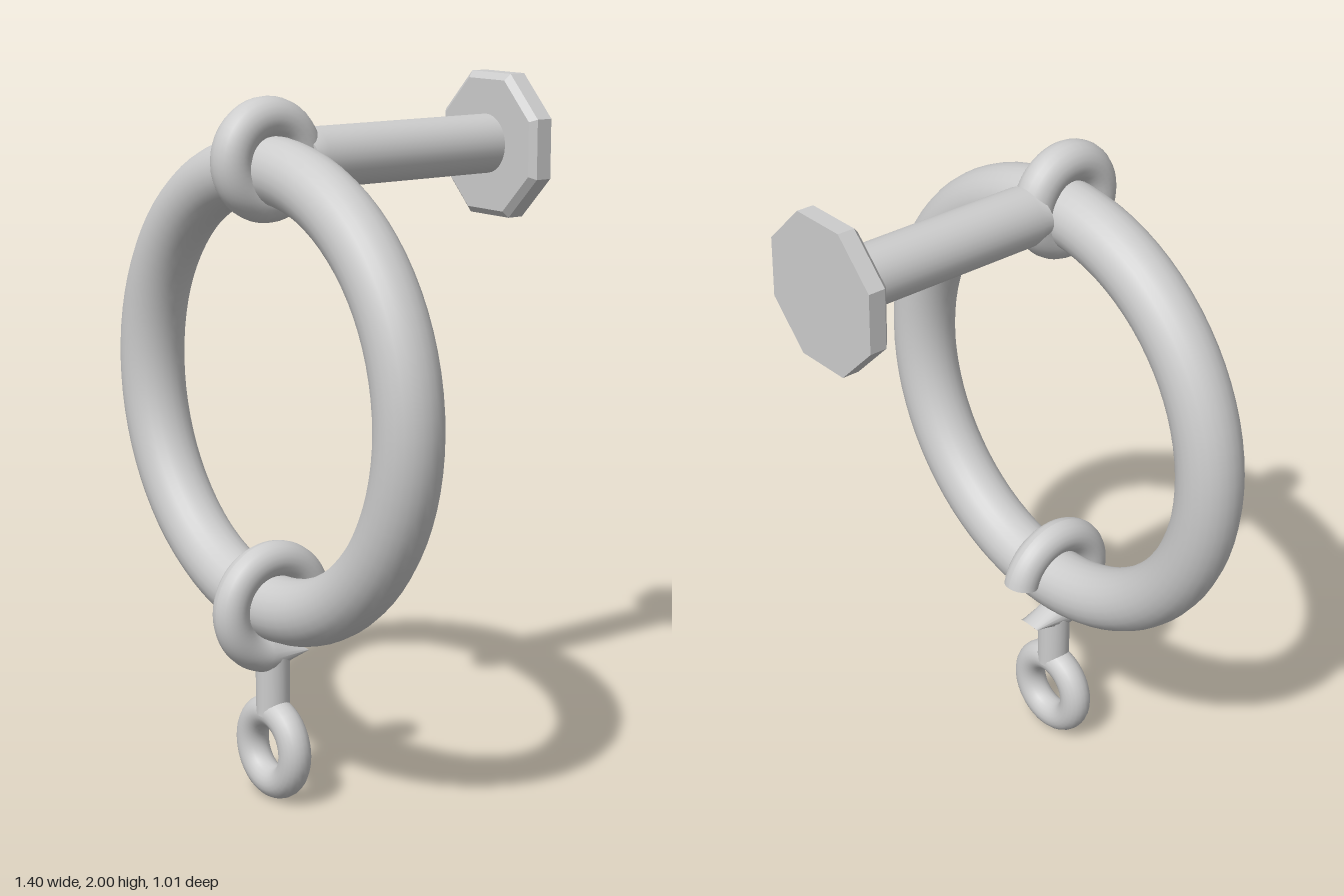
import * as THREE from 'three';

const iron = new THREE.MeshStandardMaterial({ color: 0xcccccc });
iron.name = 'grey iron';

const Z = 0.317; // plane in which the rings hang

function part(name, geometry, x = 0, y = 0, z = 0) {
  const mesh = new THREE.Mesh(geometry, iron);
  mesh.name = name;
  mesh.position.set(x, y, z);
  return mesh;
}

// Octagonal wall plate with a chamfered front edge
function plateGeometry() {
  const R = 0.203 / Math.cos(Math.PI / 8);
  const profile = [[0, -0.505], [R, -0.505], [R, -0.455], [R * 0.91, -0.438], [0, -0.438]]
    .map(([x, y]) => new THREE.Vector2(x, y));
  const g = new THREE.LatheGeometry(profile, 8, Math.PI / 8)
    .rotateX(Math.PI / 2).toNonIndexed();
  g.computeVertexNormals();
  return g;
}

// Round rod, pinched top and bottom where it meets the eye
function rodGeometry() {
  const g = new THREE.CylinderGeometry(0.084, 0.084, 0.65, 32, 2)
    .rotateX(Math.PI / 2).translate(0, 0, -0.118);
  const p = g.attributes.position;
  for (let i = 0; i < p.count; i++) {
    const z = p.getZ(i);
    if (z > 0.2) p.setY(i, p.getY(i) * 0.7);
    else if (z > -0.2) p.setZ(i, 0.17);
  }
  return g;
}

// Open hook: a torus arc whose last ring is drawn out into a flat tip
function hookGroup() {
  const R = 0.137, r = 0.051, start = Math.PI * 0.061, segments = 40;
  const g = new THREE.TorusGeometry(R, r, 20, segments, Math.PI * 1.5 - start).rotateZ(start);
  const p = g.attributes.position;
  for (let i = segments; i < p.count; i += segments + 1) {
    p.setXYZ(i, 0.1, -0.139 + (p.getY(i) + R) * 0.04, p.getZ(i) * 0.7);
  }
  g.computeVertexNormals();
  const cap = new THREE.CircleGeometry(r, 20)
    .rotateX(Math.PI / 2).translate(R, 0, 0).rotateZ(start);
  const group = new THREE.Group();
  group.name = 'hook';
  group.add(part('hookArc', g), part('hookEnd', cap));
  group.rotation.y = Math.PI / 2;
  group.position.set(0, 0.563, Z);
  return group;
}

export function createModel() {
  const model = new THREE.Group();
  model.name = 'wallRing';

  // Wall mount
  model.add(part('wallPlate', plateGeometry(), 0, 1.797, 0));
  model.add(part('rod', rodGeometry(), 0, 1.8, 0));
  const eye = new THREE.TorusGeometry(0.112, 0.057, 20, 40).rotateY(Math.PI / 2);
  model.add(part('rodEye', eye, 0, 1.805, 0.321));

  // Large hanging ring
  model.add(part('largeRing', new THREE.TorusGeometry(0.608, 0.093, 24, 80), 0, 1.17, 0.314));

  // Hook with its stem and small ring
  model.add(hookGroup());
  model.add(part('hookStem', new THREE.CylinderGeometry(0.048, 0.048, 0.17, 20), 0, 0.335, Z));
  model.add(part('smallRing', new THREE.TorusGeometry(0.104, 0.046, 20, 40), 0, 0.15, Z));

  return model;
}
